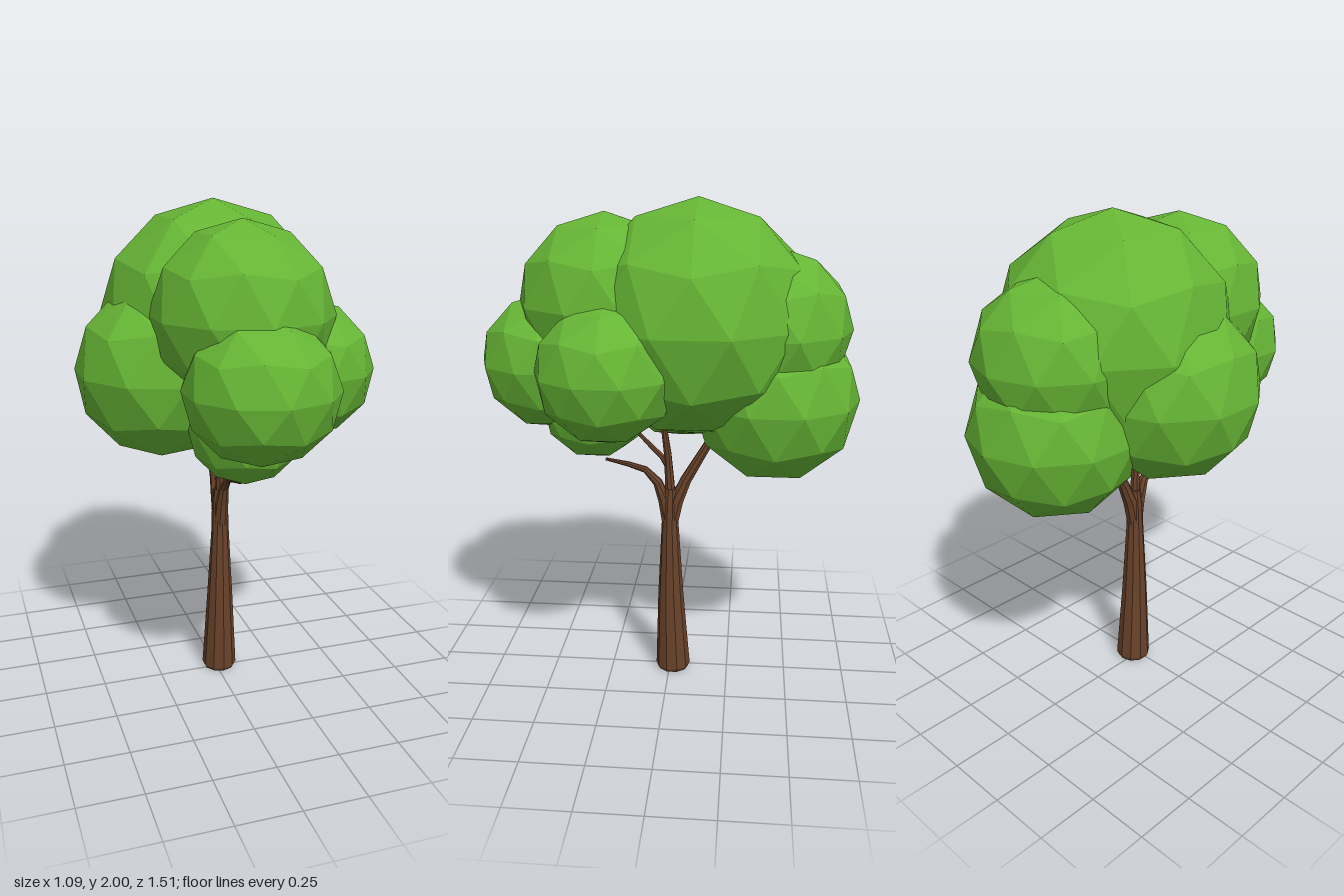
import * as THREE from 'three';

const leafMat = new THREE.MeshStandardMaterial({ color: 0x66b535, flatShading: true });
const barkMat = new THREE.MeshStandardMaterial({ color: 0x68422a, flatShading: true });
const AXIS_X = 0.017; // the trunk and all limbs lie in this plane

// Faceted ball with a corner pointing straight up
function leafBall(name, x, y, z, rx, ry = rx, rz = rx) {
  const geo = new THREE.IcosahedronGeometry(1, 1);
  geo.rotateZ(-Math.atan(2 / (1 + Math.sqrt(5))));
  const mesh = new THREE.Mesh(geo, leafMat);
  mesh.name = name;
  mesh.position.set(x, y, z);
  mesh.scale.set(rx, ry, rz);
  return mesh;
}

// Tapered, capped limb through stations of [z, y, radius]
function limb(name, stations, sides) {
  const pts = stations.map(([z, y]) => new THREE.Vector3(AXIS_X, y, z));
  const side = new THREE.Vector3(1, 0, 0);
  const pos = [], index = [], n = pts.length;
  pts.forEach((p, i) => {
    const t = pts[Math.min(i + 1, n - 1)].clone().sub(pts[Math.max(i - 1, 0)]).normalize();
    const v = t.cross(side);
    for (let j = 0; j < sides; j++) {
      const a = ((j + 0.5) / sides) * Math.PI * 2;
      const q = p.clone().addScaledVector(side, Math.cos(a) * stations[i][2]);
      q.addScaledVector(v, Math.sin(a) * stations[i][2]);
      pos.push(q.x, q.y, q.z);
    }
  });
  pos.push(...pts[0].toArray(), ...pts[n - 1].toArray());
  for (let j = 0; j < sides; j++) {
    const k = (j + 1) % sides;
    for (let i = 0; i < n - 1; i++) {
      const lo = i * sides, hi = lo + sides;
      index.push(lo + j, lo + k, hi + k, lo + j, hi + k, hi + j);
    }
    const top = (n - 1) * sides;
    index.push(n * sides, k, j, n * sides + 1, top + j, top + k);
  }
  const geo = new THREE.BufferGeometry();
  geo.setAttribute('position', new THREE.Float32BufferAttribute(pos, 3));
  geo.setIndex(index);
  geo.computeVertexNormals();
  const mesh = new THREE.Mesh(geo, barkMat);
  mesh.name = name;
  return mesh;
}

export function createModel() {
  const tree = new THREE.Group();
  tree.name = 'tree';

  // Trunk and forked limbs
  const wood = new THREE.Group();
  wood.name = 'wood';
  wood.add(
    limb('trunk', [[-0.015, 0, 0.066], [-0.015, 0.015, 0.073], [-0.005, 0.35, 0.054],
      [-0.002, 0.66, 0.036], [-0.004, 0.76, 0.034], [-0.006, 0.83, 0.026]], 10),
    limb('backBranch', [[-0.008, 0.68, 0.03], [-0.03, 0.78, 0.03], [-0.068, 0.87, 0.024],
      [-0.165, 1.04, 0.017], [-0.28, 1.24, 0.01]], 8),
    limb('frontBranch', [[0.003, 0.68, 0.03], [0.022, 0.78, 0.027], [0.05, 0.855, 0.02],
      [0.1, 0.908, 0.014], [0.17, 0.93, 0.011], [0.265, 0.95, 0.006]], 8),
    limb('middleBranch', [[-0.005, 0.74, 0.025], [0, 0.86, 0.02], [0.008, 0.98, 0.016],
      [0.027, 1.12, 0.012], [0.04, 1.26, 0.008]], 8),
    limb('twig', [[0.004, 0.92, 0.013], [0.03, 0.965, 0.012], [0.08, 1.015, 0.01],
      [0.15, 1.09, 0.007]], 6),
  );

  // Clustered crown
  const crown = new THREE.Group();
  crown.name = 'crown';
  crown.add(
    leafBall('crownTop', 0.02, 1.536, -0.11, 0.464),
    leafBall('crownUpperFront', 0.02, 1.6, 0.25, 0.348, 0.345, 0.343),
    leafBall('crownFront', 0.02, 1.365, 0.473, 0.29, 0.275, 0.28),
    leafBall('crownLowerFront', 0.02, 1.185, 0.3, 0.22),
    leafBall('crownLeft', 0.28, 1.375, 0.212, 0.277, 0.27, 0.275),
    leafBall('crownRight', -0.208, 1.35, -0.04, 0.354),
    leafBall('crownUpperBack', 0.02, 1.505, -0.398, 0.316),
    leafBall('crownLowerBack', 0.02, 1.226, -0.421, 0.334),
  );

  tree.add(wood, crown);
  return tree;
}
